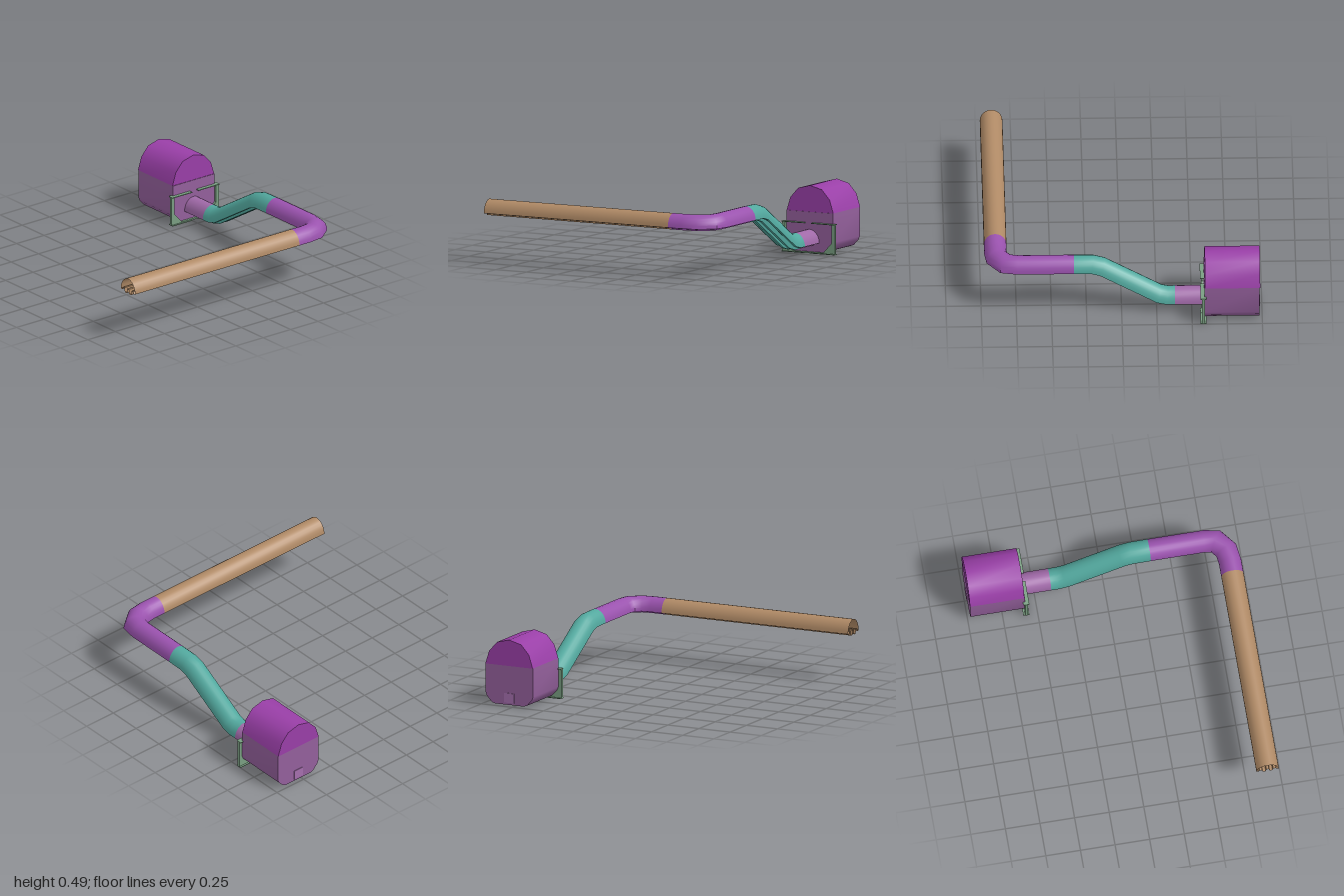
import * as THREE from 'three';
import { toCreasedNormals } from 'three/addons/utils/BufferGeometryUtils.js';

const V = (x, y, z) => new THREE.Vector3(x, y, z);
const CX = 0.785; // centre line of the house and the long run

// Duct path, measured along the widest level of its section
const PATH = [
  V(-1, 0.355, 0.895), V(0.5, 0.355, 0.895),
  V(0.6, 0.355, 0.895), V(0.688, 0.355, 0.883), V(0.767, 0.355, 0.82), V(CX - 0.003, 0.355, 0.735),
  V(CX - 0.003, 0.355, 0.34), V(CX - 0.003, 0.353, 0.215), V(CX - 0.003, 0.336, 0.155),
  V(CX - 0.003, 0.093, -0.25), V(CX - 0.003, 0.075, -0.32), V(CX - 0.003, 0.075, -0.38),
  V(CX - 0.003, 0.075, -0.6),
];

// Closed section: rounded top, grooved underside with two runners
function ductSection() {
  const pts = [];
  for (let i = 0; i <= 12; i++) {
    const a = (Math.PI * i) / 12;
    pts.push([0.081 * Math.cos(a), 0.095 * Math.sin(a)]);
  }
  const under = [[0.068, -0.004], [0.058, 0.014], [0.04, 0.014], [0.035, -0.018], [0.014, -0.018], [0.009, 0.016]];
  for (const [u, v] of [...under].reverse().map(([u, v]) => [u, v]).reverse()) pts.splice(0, 0, [u, v]);
  // order: right underside from the centre outwards, over the top, left underside back to the centre
  const right = [...under].reverse();
  const left = under.map(([u, v]) => [-u, v]);
  return [...right, ...pts.slice(under.length), ...left];
}

// Mitred copy of the section at path point i
function ring(i, section) {
  const p = PATH[i];
  const a = i > 0 ? p.clone().sub(PATH[i - 1]).normalize() : null;
  const b = i < PATH.length - 1 ? PATH[i + 1].clone().sub(p).normalize() : null;
  const before = a || b, after = b || a;
  const t = before.clone().add(after).normalize();
  const stretch = 1 / t.dot(before);
  const side = t.clone().cross(V(0, 1, 0)).normalize();
  const up = side.clone().cross(t);
  const level = Math.abs(t.y) < 1e-6;
  return section.map(([u, v]) => p.clone()
    .addScaledVector(side, u * (level ? stretch : 1))
    .addScaledVector(up, v * (level ? 1 : stretch)));
}

function ductGeometry(from, to) {
  const section = ductSection(), n = section.length, pos = [], index = [];
  for (let i = from; i <= to; i++) for (const q of ring(i, section)) pos.push(q.x, q.y, q.z);
  for (let i = 0; i < to - from; i++) {
    for (let j = 0; j < n; j++) {
      const a = i * n + j, b = i * n + ((j + 1) % n);
      index.push(a, b, b + n, a, b + n, a + n);
    }
  }
  const g = new THREE.BufferGeometry();
  g.setAttribute('position', new THREE.Float32BufferAttribute(pos, 3));
  g.setIndex(index);
  // section runs anticlockwise seen against the travel, so check that faces look outwards
  return toCreasedNormals(g, 0.7);
}

// Prism along z from a mirrored half outline (offsets from the centre line)
function outline(half) {
  const pts = half.map(([x, y]) => new THREE.Vector2(CX + x, y));
  for (const [x, y] of [...half].reverse()) if (x > 0) pts.push(new THREE.Vector2(CX - x, y));
  return new THREE.Shape(pts);
}
function prism(shape, z0, z1) {
  const g = new THREE.ExtrudeGeometry(shape, { depth: z1 - z0, bevelEnabled: false });
  g.translate(0, 0, z0);
  return toCreasedNormals(g, 0.6);
}

export function createModel() {
  const model = new THREE.Group();
  const add = (name, geometry, color, side = THREE.FrontSide) => {
    const mesh = new THREE.Mesh(geometry, new THREE.MeshStandardMaterial({ color, side }));
    mesh.name = name;
    model.add(mesh);
  };
  const box = (name, x0, x1, y0, y1, z0, z1, color) => {
    const g = new THREE.BoxGeometry(x1 - x0, y1 - y0, z1 - z0);
    g.translate((x0 + x1) / 2, (y0 + y1) / 2, (z0 + z1) / 2);
    add(name, g, color);
  };

  // Duct, in four coloured lengths with open ends
  add('straightDuct', ductGeometry(0, 1), 0xb08a66, THREE.DoubleSide);
  add('cornerDuct', ductGeometry(1, 6), 0x9a52ae, THREE.DoubleSide);
  add('slopingDuct', ductGeometry(6, 11), 0x52a89e, THREE.DoubleSide);
  add('entryDuct', ductGeometry(11, 12), 0xa069a8, THREE.DoubleSide);

  // House body with chamfered lower corners, and its rounded roof
  const body = [[0.115, 0.01], [0.14, 0.018], [0.18, 0.06], [0.19, 0.085], [0.19, 0.295]];
  add('houseBody', prism(outline(body), -0.98, -0.588), 0x94609c);
  const roof = [[0.19, 0.295], [0.16, 0.39], [0.097, 0.46], [0, 0.485]];
  add('houseRoof', prism(outline(roof), -0.985, -0.592), 0x9a3fa8);
  box('backTile', CX - 0.04, CX + 0.04, 0.025, 0.095, -0.985, -0.975, 0xa56fae);

  // U-shaped mounting frame fitted around the house front
  const green = 0x7a9f82;
  const frame = new THREE.Shape([
    [0.57, 0], [1, 0], [1, 0.22], [CX + 0.19, 0.22], [CX + 0.19, 0.085], [CX + 0.12, 0.01],
    [CX - 0.12, 0.01], [CX - 0.19, 0.085], [CX - 0.19, 0.22], [0.57, 0.22],
  ].map(([x, y]) => new THREE.Vector2(x, y)));
  add('mountingFrame', prism(frame, -0.59, -0.57), green);
  for (const [name, x0, x1] of [['rightFlange', 0.57, 0.75], ['leftFlange', 0.81, 1]]) {
    box(name + 'Top', x0, x1, 0.214, 0.22, -0.603, -0.56, green);
    box(name + 'Bottom', x0, x1, 0, 0.006, -0.603, -0.56, green);
  }
  return model;
}
